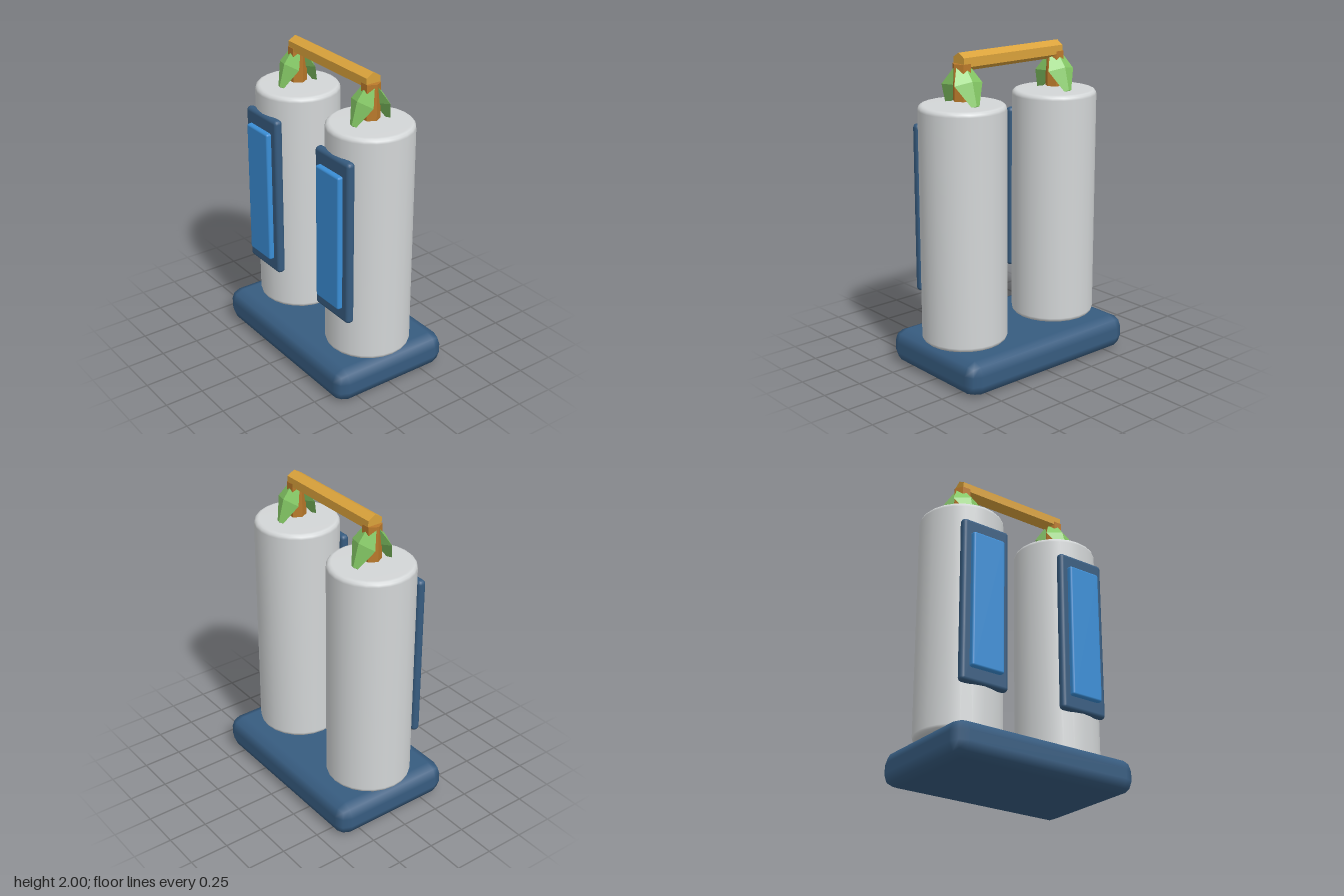
import * as THREE from 'three';
import { RoundedBoxGeometry } from 'three/addons/geometries/RoundedBoxGeometry.js';

const mat = (name, color, extra = {}) => {
  const m = new THREE.MeshStandardMaterial({ color, ...extra });
  m.name = name;
  return m;
};

export function createModel() {
  const navy = mat('navy', 0x375c80);
  const blue = mat('blue', 0x3a8ed6);
  const grey = mat('light grey', 0xd3d6d7);
  const green = mat('leaf green', 0x86ca66, { flatShading: true });
  const amber = mat('amber', 0xdaa23b, { flatShading: true });
  const bronze = mat('bronze', 0xbb7a2b, { flatShading: true });

  const model = new THREE.Group();
  model.name = 'twinCylinders';
  const add = (parent, name, geometry, material, x, y, z) => {
    const mesh = new THREE.Mesh(geometry, material);
    mesh.name = name;
    mesh.position.set(x, y, z);
    parent.add(mesh);
    return mesh;
  };

  // Chamfered base slab
  add(model, 'base', new RoundedBoxGeometry(1.29, 0.22, 0.826, 1, 0.08), navy, 0, 0.11, 0);

  // Cylinder profile with softened rims
  const R = 0.266, r = 0.03, y0 = 0.215, y1 = 1.695;
  const profile = [new THREE.Vector2(0, y0)];
  for (let i = 0; i <= 3; i++) {
    const a = (i / 3) * Math.PI / 2;
    profile.push(new THREE.Vector2(R - r + r * Math.sin(a), y0 + r - r * Math.cos(a)));
  }
  for (let i = 0; i <= 3; i++) {
    const a = (i / 3) * Math.PI / 2;
    profile.push(new THREE.Vector2(R - r + r * Math.cos(a), y1 - r + r * Math.sin(a)));
  }
  profile.push(new THREE.Vector2(0, y1));
  const cylinder = new THREE.LatheGeometry(profile, 24);

  // Four-sided leaf, flattened and pointed at the lower end
  const leaf = new THREE.LatheGeometry(
    [[0, -0.145], [0.03, -0.135], [0.105, 0.005], [0.045, 0.125], [0, 0.14]]
      .map(([x, y]) => new THREE.Vector2(x, y)), 4);
  leaf.scale(1, 1, 0.4);
  leaf.rotateX(-0.47);

  const frame = new RoundedBoxGeometry(0.335, 1.065, 0.056, 2, 0.025);
  const panel = new RoundedBoxGeometry(0.228, 0.88, 0.06, 2, 0.014);
  const post = new THREE.CylinderGeometry(0.058, 0.058, 0.22, 6).rotateY(Math.PI / 6);

  for (const side of [1, -1]) {
    const unit = new THREE.Group();
    unit.name = side > 0 ? 'leftUnit' : 'rightUnit';
    unit.position.x = side * 0.37;
    model.add(unit);
    add(unit, 'cylinder', cylinder, grey, 0, 0, 0);
    add(unit, 'panelFrame', frame, navy, 0, 1.022, 0.253);
    add(unit, 'panel', panel, blue, 0, 1.02, 0.283);
    add(unit, 'post', post, bronze, 0, 1.825, 0);
    add(unit, 'frontLeaf', leaf, green, 0, 1.815, 0.063);
    add(unit, 'backLeaf', leaf, green, 0, 1.815, -0.063).rotation.y = Math.PI;
  }

  // Six-sided handle bar joining the posts
  const bar = new THREE.CylinderGeometry(0.056, 0.056, 0.785, 6).rotateY(Math.PI / 6).rotateZ(Math.PI / 2);
  add(model, 'handleBar', bar, amber, 0, 1.944, 0);

  return model;
}
